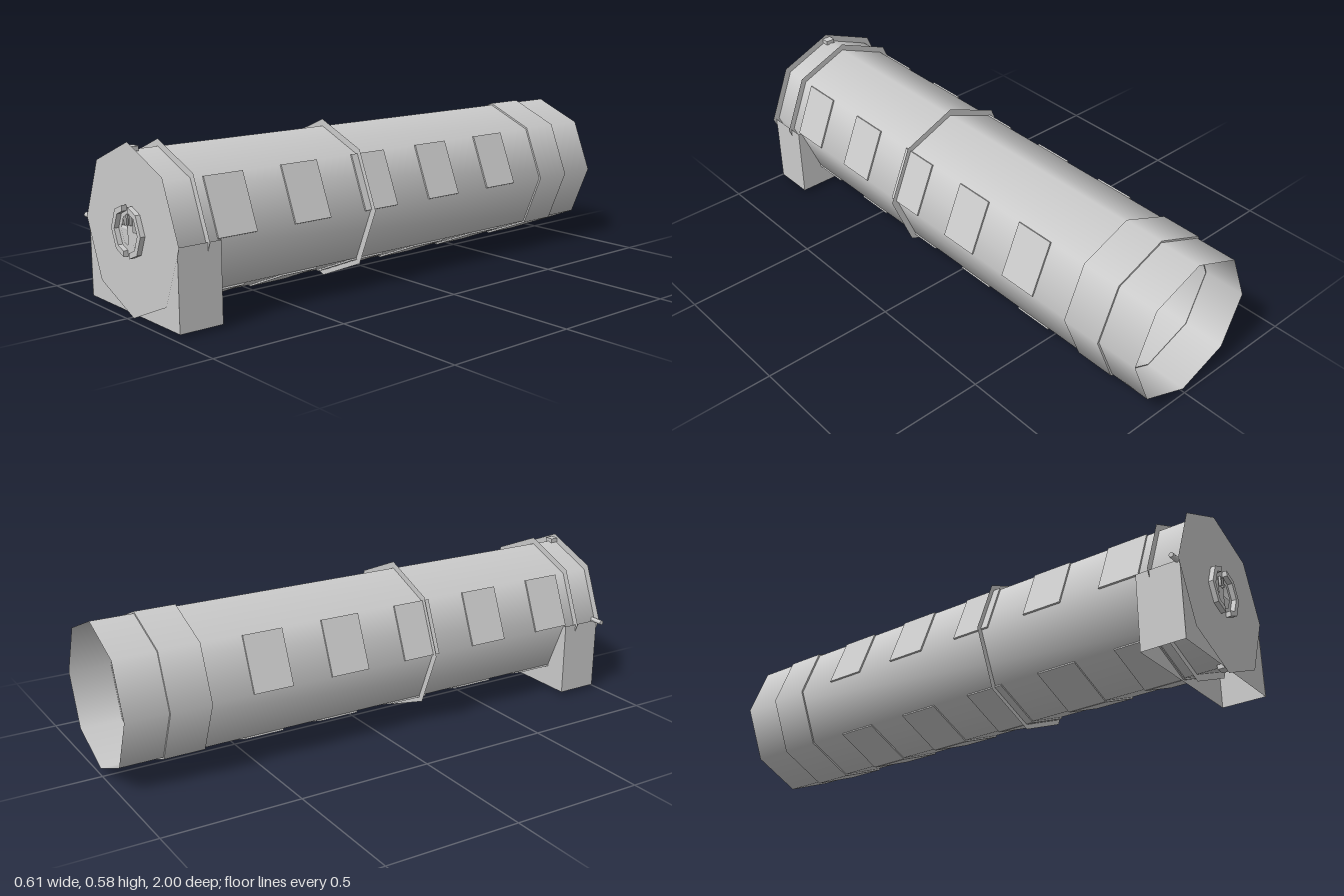
import * as THREE from 'three';

export function createModel() {
  const root = new THREE.Group();
  const mat = new THREE.MeshStandardMaterial({ color: 0xcccccc, side: THREE.DoubleSide });
  const flat = new THREE.MeshStandardMaterial({ color: 0xcccccc, side: THREE.DoubleSide, flatShading: true });
  const CX = 0.012, CY = 0.294;

  // All parts are placed relative to the tube axis
  const add = (name, geo, x = 0, y = 0, z = 0, m = flat) => {
    const mesh = new THREE.Mesh(geo, m);
    mesh.name = name;
    mesh.position.set(CX + x, CY + y, z);
    root.add(mesh);
    return mesh;
  };
  const octagon = (r, Kind = THREE.Shape) => new Kind(
    Array.from({ length: 8 }, (_, i) => new THREE.Vector2(r * Math.cos(i * Math.PI / 4), r * Math.sin(i * Math.PI / 4))));
  const tube = (r, len) => new THREE.CylinderGeometry(r, r, len, 8, 1, true).rotateX(Math.PI / 2);

  // Half of an octagon, cut off at distance gap from the vertical middle line
  const halfPoints = (r, gap, side) => {
    const k = r * Math.SQRT1_2, top = r - gap * (r - k) / k;
    return [[gap, -top], [k, -k], [r, 0], [k, k], [gap, top]].map(([x, y]) => new THREE.Vector2(x * side, y));
  };

  // Main tube and rear sleeve
  add('tube', tube(0.265, 1.98), 0, 0, -0.01, mat);
  add('rearSleeve', tube(0.272, 0.15), 0, 0, -0.77, mat);

  // Flat octagonal flanges
  for (const [z, outer, inner] of [[0.87, 0.29, 0.255], [0.19, 0.29, 0.245], [-0.695, 0.272, 0.24], [-0.845, 0.272, 0.262]]) {
    const ring = octagon(outer);
    ring.holes.push(octagon(inner, THREE.Path));
    add('flange', new THREE.ShapeGeometry(ring), 0, 0, z);
  }

  // Raised panels on four faces of the tube
  const apothem = 0.265 * Math.cos(Math.PI / 8);
  const panel = new THREE.BoxGeometry(0.012, 0.203, 0.15);
  for (let i = 0; i < 5; i++) {
    for (const deg of [22.5, 157.5, 247.5, 292.5]) {
      const a = THREE.MathUtils.degToRad(deg);
      const mesh = add('sidePanel', panel, apothem * Math.cos(a), apothem * Math.sin(a), 0.75 - i * 0.304);
      mesh.rotation.z = a;
    }
  }

  // Front plate with a divided octagonal window
  const plate = octagon(0.291);
  for (const side of [-1, 1]) plate.holes.push(new THREE.Path(halfPoints(0.058, 0.018, side)));
  add('frontPlate', new THREE.ShapeGeometry(plate), 0, 0, 0.982);

  // Raised window frame halves
  for (const side of [-1, 1]) {
    const outer = halfPoints(0.093, 0.018, side), inner = halfPoints(0.073, 0.018, side).reverse();
    const frame = new THREE.Shape([...outer, ...inner]);
    add('windowFrame', new THREE.ExtrudeGeometry(frame, { depth: 0.017, bevelEnabled: false }), 0, 0, 0.983);
    // Small bars on the window divider
    add('dividerBar', new THREE.BoxGeometry(0.008, 0.035, 0.008), side * 0.008, 0.038, 0.986);
    // Thin pointers behind the window
    add('pointer', new THREE.ConeGeometry(0.005, 0.036, 4), side * 0.04, 0.02, 0.96);
  }

  // Base housing, open above and below
  const w = 0.555, h = 0.276, d = 0.16, y = -0.139;
  const wall = new THREE.PlaneGeometry(w, h), cheek = new THREE.PlaneGeometry(d, h).rotateY(Math.PI / 2);
  add('housingBack', wall, 0, y, 0.82);
  add('housingFront', wall, 0, y, 0.979);
  for (const side of [-1, 1]) add('housingSide', cheek, side * w / 2, y, 0.90);

  // Side rod
  add('sideRod', new THREE.CylinderGeometry(0.009, 0.009, 0.298, 8).rotateZ(Math.PI / 2), -0.168, 0, 0.971, mat);

  // Clips joining plate and tube at top and bottom
  for (const side of [-1, 1]) {
    add('plateClip', new THREE.BoxGeometry(0.035, 0.016, 0.03), 0, side * 0.269, 0.966);
  }
  return root;
}
